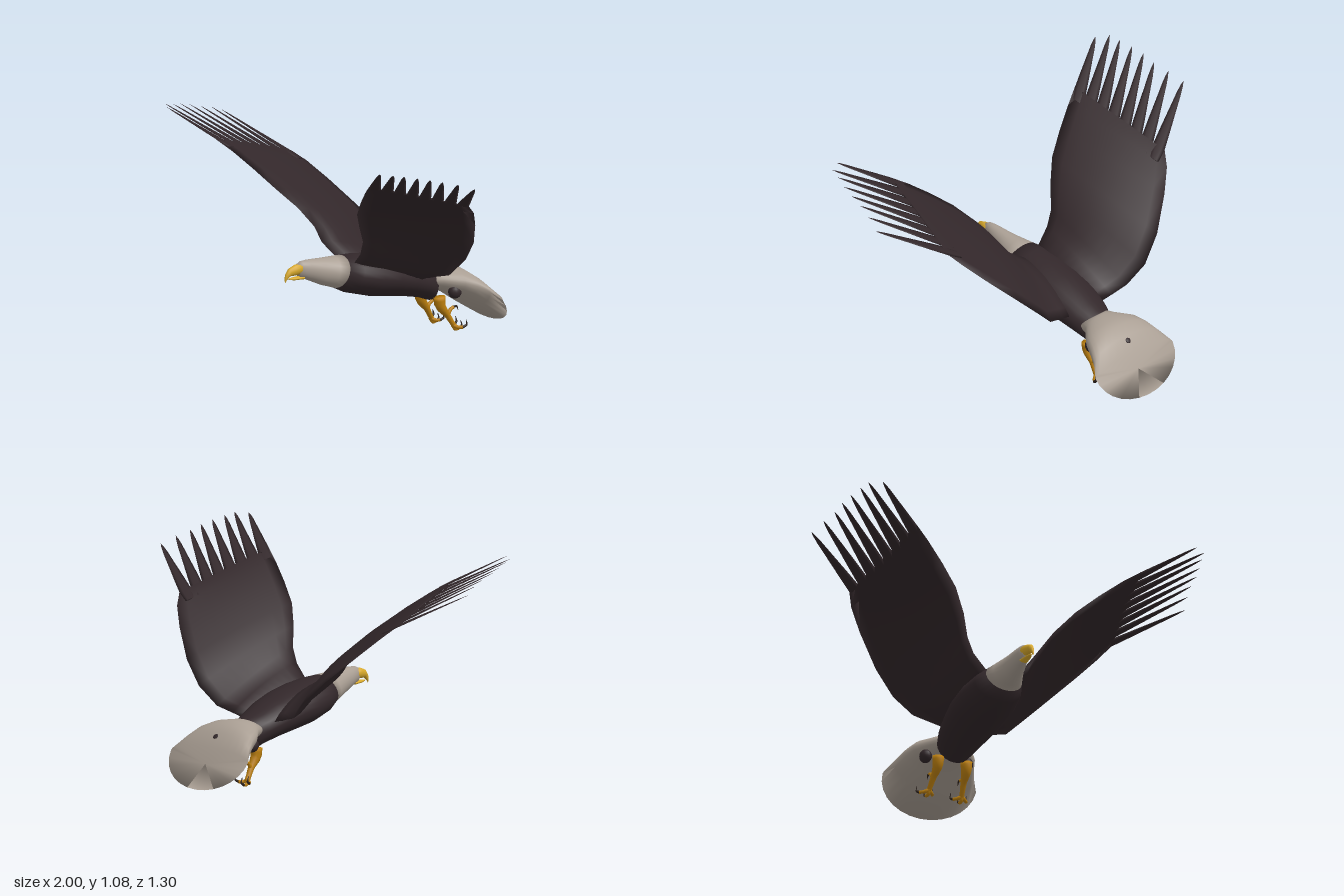
import * as THREE from 'three';

const V = (x, y, z) => new THREE.Vector3(x, y, z);
const material = (name, color, side = THREE.FrontSide) => {
  const m = new THREE.MeshStandardMaterial({ color, side });
  m.name = name;
  return m;
};

// Closed skin over rings of equal point count, capped at both ends and turned outward.
function loft(rings) {
  const n = rings[0].length, pos = [], idx = [];
  rings.forEach(r => r.forEach(p => pos.push(p.x, p.y, p.z)));
  for (let i = 0; i < rings.length - 1; i++) {
    for (let j = 0; j < n; j++) {
      const a = i * n + j, b = i * n + (j + 1) % n;
      idx.push(a, b, a + n, b, b + n, a + n);
    }
  }
  [0, rings.length - 1].forEach(i => {
    const c = rings[i].reduce((s, p) => s.add(p), V(0, 0, 0)).divideScalar(n);
    const k = pos.length / 3;
    pos.push(c.x, c.y, c.z);
    for (let j = 0; j < n; j++) {
      const a = i * n + j, b = i * n + (j + 1) % n;
      if (i === 0) idx.push(k, b, a); else idx.push(k, a, b);
    }
  });
  const at = i => V(pos[3 * i], pos[3 * i + 1], pos[3 * i + 2]);
  let volume = 0;
  for (let i = 0; i < idx.length; i += 3) {
    volume += at(idx[i]).dot(at(idx[i + 1]).cross(at(idx[i + 2])));
  }
  if (volume < 0) idx.reverse();
  const g = new THREE.BufferGeometry();
  g.setAttribute('position', new THREE.Float32BufferAttribute(pos, 3));
  g.setIndex(idx);
  g.computeVertexNormals();
  return g;
}

const angles = n => Array.from({ length: n }, (_, i) => (i / n) * Math.PI * 2);

// Oval rings slanted between a top point and a bottom point: [zTop, yTop, zBottom, yBottom, halfWidth]
const ovals = (rows, n = 24) => loft(rows.map(([zt, yt, zb, yb, w]) => angles(n).map(a => {
  const t = (1 + Math.sin(a)) / 2;
  return V(w * Math.cos(a), yb + (yt - yb) * t, zb + (zt - zb) * t);
})));

// Tapered limb through [x, y, z, radius] points
function limb(rows, side, steps = 10) {
  const curve = new THREE.CatmullRomCurve3(rows.map(r => V(side * r[0], r[1], r[2])));
  const rings = [];
  for (let i = 0; i <= steps; i++) {
    const t = i / steps, f = t * (rows.length - 1), k = Math.min(Math.floor(f), rows.length - 2);
    const r = THREE.MathUtils.lerp(rows[k][3], rows[k + 1][3], f - k);
    const c = curve.getPoint(t), d = curve.getTangent(t);
    const u = V(1, 0, 0).addScaledVector(d, -d.x).normalize(), v = d.clone().cross(u);
    rings.push(angles(8).map(a => c.clone().addScaledVector(u, r * Math.cos(a)).addScaledVector(v, r * Math.sin(a))));
  }
  return loft(rings);
}

// Wing stations: leading edge xyz, trailing edge xyz, camber, half thickness
const STATIONS = [
  [.07, .43, .21, .08, .28, -.20, .01, .035],
  [.15, .49, .235, .16, .305, -.215, .015, .028],
  [.19, .56, .25, .25, .33, -.225, .02, .02],
  [.24, .65, .31, .34, .42, -.255, .02, .015],
  [.32, .74, .385, .45, .53, -.22, .02, .011],
  [.42, .825, .44, .58, .66, -.13, .015, .009],
  [.52, .90, .49, .66, .745, -.06, .01, .007],
  [.60, .95, .53, .70, .795, 0, .004, .004],
];
// Flight feather tips, from leading to trailing
const TIPS = [
  [.84, 1.08, .645], [.90, 1.08, .61], [.915, 1.07, .555], [.935, 1.055, .49],
  [.95, 1.04, .425], [.955, 1.02, .355], [.975, 1.0, .275], [1.0, .97, .195],
];

const lead = s => V(s[0], s[1], s[2]);
const trail = s => V(s[3], s[4], s[5]);
const middle = s => lead(s).lerp(trail(s), .5);
function wingNormal(i) {
  const a = STATIONS[Math.max(0, i - 1)], b = STATIONS[Math.min(STATIONS.length - 1, i + 1)];
  const chord = lead(STATIONS[i]).sub(trail(STATIONS[i]));
  return chord.cross(middle(b).sub(middle(a))).normalize();
}

function wingGeometry(side) {
  const m = 10;
  return loft(STATIONS.map((s, i) => {
    const n = wingNormal(i);
    if (n.y < 0) n.negate();
    const ring = [];
    for (let j = 0; j < 2 * m; j++) {
      const upper = j < m, f = upper ? j / m : 2 - j / m;
      const bulge = s[6] * Math.sin(Math.PI * f) + (upper ? 1 : -1) * s[7] * Math.sqrt(Math.sin(Math.PI * f) + .02);
      const p = trail(s).lerp(lead(s), f).addScaledVector(n, bulge);
      p.x *= side;
      ring.push(p);
    }
    return ring;
  }));
}

function featherGeometry(i, side) {
  const last = STATIONS[STATIONS.length - 1];
  const base = lead(last).lerp(trail(last), (i + .5) / TIPS.length);
  const tip = V(...TIPS[i]);
  const across = lead(last).sub(trail(last)).normalize();
  const n = tip.clone().sub(base).cross(across).normalize();
  const shape = [[-.2, .05], [0, .068], [.25, .056], [.55, .039], [.8, .026], [.92, .015], [1, .001]];
  return loft(shape.map(([t, w]) => angles(6).map(a => {
    const p = base.clone().lerp(tip, t)
      .addScaledVector(across, w / 2 * Math.cos(a)).addScaledVector(n, .05 * w * Math.sin(a));
    p.x *= side;
    return p;
  })));
}

export function createModel() {
  const bird = new THREE.Group();
  bird.name = 'bird';
  const brown = material('dark brown plumage', 0x32272a, THREE.DoubleSide);
  const white = material('pale plumage', 0xaa9f94, THREE.DoubleSide);
  const yellow = material('yellow beak', 0xd9aa2c);
  const orange = material('orange legs', 0xbd800f);
  const horn = material('dark talons', 0x2e231d);
  const add = (name, geometry, mat, parent = bird) => {
    const mesh = new THREE.Mesh(geometry, mat);
    mesh.name = name;
    parent.add(mesh);
    return mesh;
  };

  // Head, torso and beak
  const neck = [.23, .452, .285, .30, .095];
  add('head', ovals([[.505, .448, .49, .378, .02], [.48, .46, .46, .37, .03], [.44, .462, .42, .352, .04],
    [.36, .458, .36, .325, .056], [.28, .455, .32, .312, .078], neck]), white);
  add('torso', ovals([neck, [.16, .448, .22, .268, .125], [.06, .435, .10, .235, .145], [-.05, .41, 0, .22, .145],
    [-.15, .375, -.12, .20, .13], [-.24, .335, -.22, .178, .11], [-.29, .315, -.28, .155, .09],
    [-.33, .295, -.31, .19, .05]]), brown);
  add('upperBeak', ovals([[.485, .452, .485, .397, .026], [.52, .446, .515, .395, .02], [.55, .434, .545, .395, .015],
    [.57, .41, .555, .387, .01], [.577, .386, .567, .377, .006], [.575, .367, .572, .367, .001]], 14), yellow);
  add('lowerBeak', ovals([[.47, .389, .47, .37, .022], [.52, .387, .52, .372, .015], [.55, .385, .55, .377, .005]], 14), yellow);

  // Tail fan: [halfWidth, edgeY, edgeZ, topY, topZ, bottomY, bottomZ]
  const tailRows = [[.09, .26, -.265, .30, -.27, .21, -.27], [.10, .26, -.31, .312, -.32, .20, -.32],
    [.165, .25, -.39, .315, -.39, .175, -.385], [.19, .23, -.45, .305, -.44, .145, -.43],
    [.215, .20, -.50, .27, -.49, .10, -.50], [.25, .16, -.55, .205, -.545, .012, -.65]];
  add('tail', loft(tailRows.map(([w, ey, ez, ty, tz, by, bz]) => angles(28).map(a => {
    const s = Math.sin(a), k = Math.abs(s);
    return V(w * Math.cos(a), ey + ((s > 0 ? ty : by) - ey) * k, ez + ((s > 0 ? tz : bz) - ez) * k);
  }))), white);
  const spot = add('tailSpot', new THREE.SphereGeometry(.014, 12, 8), brown);
  spot.scale.y = .3;
  spot.rotation.x = -.8;
  spot.position.set(0, .252, -.507);

  for (const side of [1, -1]) {
    const label = side > 0 ? 'left' : 'right';

    // Wing with spread flight feathers
    const wing = new THREE.Group();
    wing.name = label + 'Wing';
    bird.add(wing);
    add('wingPanel', wingGeometry(side), brown, wing);
    TIPS.forEach((_, i) => add('flightFeather', featherGeometry(i, side), brown, wing));

    // Leg, toes and curled talons
    const leg = new THREE.Group();
    leg.name = label + 'Leg';
    bird.add(leg);
    const thigh = add('thighTuft', new THREE.SphereGeometry(1, 16, 12), brown, leg);
    thigh.scale.set(.03, .034, .035);
    thigh.position.set(side * .11, .203, -.367);
    add('shank', limb([[.075, .18, -.30, .03], [.076, .135, -.305, .027], [.08, .09, -.34, .016],
      [.085, .05, -.365, .013], [.088, .025, -.382, .013]], side), orange, leg);
    add('hindToe', limb([[.082, .085, -.345, .012], [.082, .108, -.36, .009], [.082, .12, -.38, .008]], side), orange, leg);
    add('hindTalon', limb([[.082, .12, -.378, .007], [.082, .12, -.398, .005], [.082, .102, -.408, .001]], side), horn, leg);
    [.055, .09, .125].forEach((x, i) => {
      const lift = i === 1 ? 0 : .012;
      add('toe', limb([[.087, .032, -.375, .011], [(x + .087) / 2, .012 + lift, -.385, .009],
        [x, .012 + lift, -.405, .008]], side), orange, leg);
      add('talon', limb([[x, .012 + lift, -.403, .007], [x + (x - .088) * .15, .024 + lift, -.422, .005],
        [x + (x - .088) * .2, .05 + lift, -.417, .001]], side), horn, leg);
    });
  }
  return bird;
}
